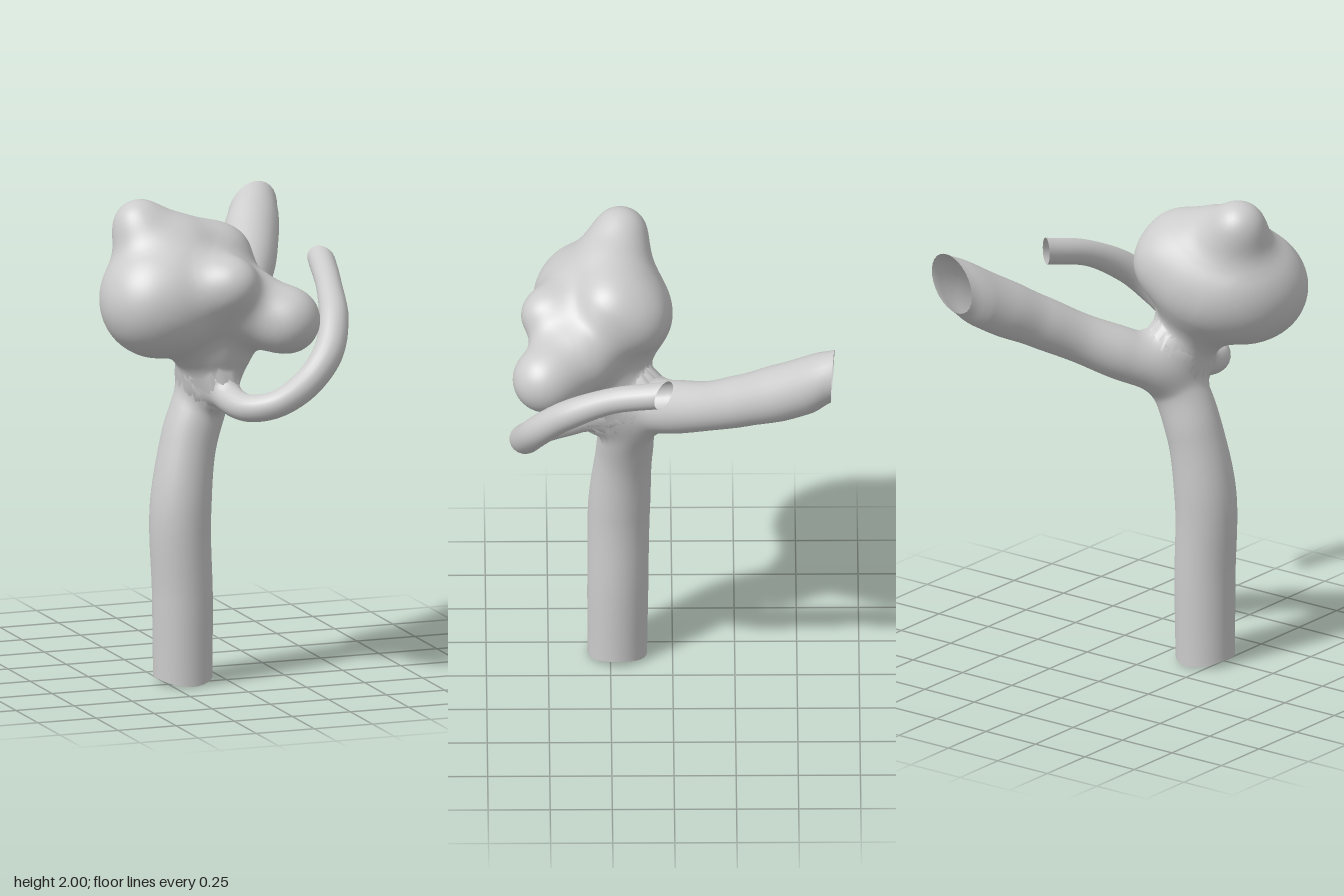
import * as THREE from 'three';
import { mergeVertices } from 'three/addons/utils/BufferGeometryUtils.js';

const V = (x, y, z) => new THREE.Vector3(x, y, z);
const material = new THREE.MeshStandardMaterial({ color: 0xcccccc, side: THREE.DoubleSide });
const JUNCTION = V(-0.06, 1.3, 0.22);

// Vessel paths: x, y, z, radius
const MAIN = [
  [-0.178, 0.015, 0.222, 0.12], [-0.178, 0.35, 0.22, 0.123], [-0.185, 0.7, 0.215, 0.125],
  [-0.143, 0.98, 0.195, 0.115], [-0.075, 1.17, 0.17, 0.112], [-0.03, 1.265, 0.09, 0.112],
  [0.055, 1.32, -0.01, 0.108], [0.18, 1.405, -0.15, 0.1], [0.275, 1.492, -0.29, 0.106],
  [0.35, 1.575, -0.43, 0.115], [0.402, 1.645, -0.54, 0.114], [0.447, 1.715, -0.64, 0.098],
];
const SIDE = [
  [-0.06, 1.25, 0.24, 0.08], [-0.05, 1.2, 0.38, 0.06], [-0.01, 1.175, 0.52, 0.056],
  [0.09, 1.2, 0.595, 0.056], [0.22, 1.275, 0.59, 0.06], [0.325, 1.38, 0.545, 0.062],
  [0.39, 1.49, 0.44, 0.06], [0.44, 1.595, 0.25, 0.053], [0.488, 1.652, 0.04, 0.054],
];

// Rounded lobes that merge into the sac
const LOBES = [
  [-0.288, 1.615, 0.285, 0.245], [-0.36, 1.59, 0.36, 0.168], [-0.355, 1.885, 0.21, 0.112],
  [-0.19, 1.765, 0.25, 0.155], [-0.05, 1.685, 0.17, 0.155], [-0.02, 1.755, 0.26, 0.1],
  [-0.2, 1.61, 0.37, 0.15], [-0.18, 1.6, 0.18, 0.152], [-0.07, 1.68, 0.502, 0.108],
  [0.16, 1.522, 0.51, 0.136], [0.035, 1.55, 0.37, 0.148],
  [-0.11, 1.43, 0.25, 0.13], [-0.04, 1.35, 0.3, 0.1], [-0.055, 1.3, 0.18, 0.095],
];

function smoothMin(a, b, k) {
  const h = Math.max(k - Math.abs(a - b), 0) / k;
  return Math.min(a, b) - h * h * k * 0.25;
}

function ballDistance(p, b) {
  return Math.hypot(p.x - b[0], p.y - b[1], p.z - b[2]) - b[3];
}

// Curve with a smoothly varying radius
function vessel(points) {
  const curve = new THREE.CatmullRomCurve3(points.map(p => V(p[0], p[1], p[2])));
  const n = points.length - 1;
  const radius = u => {
    const t = curve.getUtoTmapping(u) * n;
    const i = Math.min(Math.floor(t), n - 1);
    return THREE.MathUtils.lerp(points[i][3], points[i + 1][3], THREE.MathUtils.smoothstep(t - i, 0, 1));
  };
  const balls = [];
  for (let i = 0; i <= 120; i++) {
    const p = curve.getPointAt(i / 120);
    balls.push([p.x, p.y, p.z, radius(i / 120)]);
  }
  return { curve, balls };
}

const mainVessel = vessel(MAIN);
const sideVessel = vessel(SIDE);

// Distance to the whole body, blended softly only around the junction
function field(p) {
  const tube = v => v.balls.reduce((d, b) => Math.min(d, ballDistance(p, b)), Infinity);
  const sac = LOBES.reduce((d, b) => smoothMin(d, ballDistance(p, b), 0.12), 10);
  const k = 0.08 * (1 - THREE.MathUtils.smoothstep(p.distanceTo(JUNCTION), 0.2, 0.42)) + 1e-4;
  return smoothMin(smoothMin(sac, tube(mainVessel), k), tube(sideVessel), k);
}

// First surface point along a ray that starts inside
function castOut(origin, dir, limit) {
  const p = V(0, 0, 0);
  let d = 0;
  for (let i = 0; i < 60 && d < limit; i++) {
    const f = field(p.copy(origin).addScaledVector(dir, d));
    if (f > -0.0005) break;
    d -= f;
  }
  return p.copy(origin).addScaledVector(dir, Math.min(d, limit));
}

// Open tube whose rings are pushed out to the blended surface
function tubeMesh(name, { curve, balls }, rings, sides, startWave, endCut) {
  const frames = curve.computeFrenetFrames(rings, false);
  const pos = [], index = [];
  for (let i = 0; i <= rings; i++) {
    const u = i / rings;
    const c = curve.getPointAt(u);
    const r = balls[Math.round(u * 120)][3];
    const tangent = frames.tangents[i];
    const slant = THREE.MathUtils.smoothstep(u, 0.88, 1);
    for (let j = 0; j < sides; j++) {
      const a = j / sides * Math.PI * 2;
      const dir = V(0, 0, 0).addScaledVector(frames.normals[i], Math.cos(a))
        .addScaledVector(frames.binormals[i], Math.sin(a));
      const p = castOut(c, dir, r * 1.6);
      // slanted far end, wavy near end
      p.addScaledVector(tangent, slant * c.clone().sub(p).dot(endCut) / tangent.dot(endCut));
      if (i === 0) p.y += startWave * Math.cos(2 * a);
      pos.push(p.x, p.y, p.z);
      if (i < rings) {
        const k = (j + 1) % sides, A = i * sides, B = A + sides;
        index.push(A + j, A + k, B + j, A + k, B + k, B + j);
      }
    }
  }
  const g = new THREE.BufferGeometry();
  g.setAttribute('position', new THREE.Float32BufferAttribute(pos, 3));
  g.setIndex(index);
  g.computeVertexNormals();
  const mesh = new THREE.Mesh(g, material);
  mesh.name = name;
  return mesh;
}

// Lobed sac: a sphere shaped outward to the blended surface
function sacMesh() {
  let g = new THREE.IcosahedronGeometry(1, 28);
  g.deleteAttribute('normal');
  g.deleteAttribute('uv');
  g = mergeVertices(g, 1e-4);
  const centre = V(-0.13, 1.6, 0.3);
  const pos = g.attributes.position;
  for (let i = 0; i < pos.count; i++) {
    const dir = V(0, 0, 0).fromBufferAttribute(pos, i).normalize();
    // the neck ends inside the main vessel
    const p = castOut(centre, dir, dir.y < -0.6 ? 0.43 : 0.55);
    pos.setXYZ(i, p.x, p.y, p.z);
  }
  g.computeVertexNormals();
  const mesh = new THREE.Mesh(g, material);
  mesh.name = 'sac';
  return mesh;
}

export function createModel() {
  const group = new THREE.Group();
  group.name = 'branchingVessel';
  group.add(
    tubeMesh('mainVessel', mainVessel, 120, 28, 0.013, V(0.06, -0.05, -1)),
    tubeMesh('sideVessel', sideVessel, 80, 20, 0, V(0.63, 0, -0.77)),
    sacMesh(),
  );
  return group;
}
